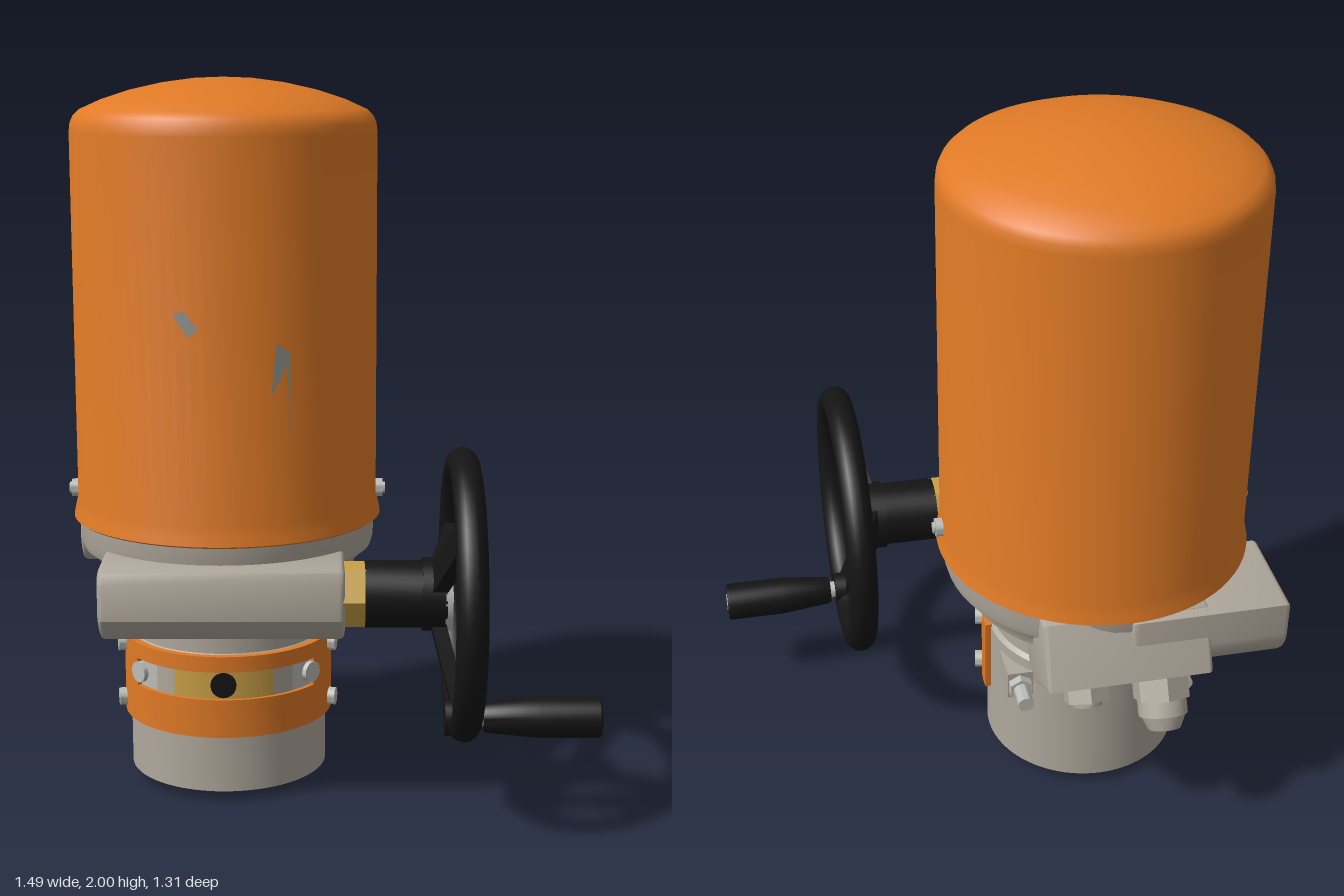
import * as THREE from 'three';
import { toCreasedNormals } from 'three/addons/utils/BufferGeometryUtils.js';

const mat = (name, color) => {
  const m = new THREE.MeshStandardMaterial({ color });
  m.name = name;
  return m;
};

export function createModel() {
  const model = new THREE.Group();
  model.name = 'valveActuator';
  const orange = mat('orangePaint', 0xe07a26);
  const grey = mat('greyCasting', 0xb0a89c);
  const black = mat('blackPlastic', 0x141414);
  const brass = mat('brass', 0xc9a046);
  const silver = mat('silverSteel', 0xbcbdb8);
  const patchGrey = mat('patchGrey', 0x96968f);
  patchGrey.side = THREE.DoubleSide;

  const CX = -0.29, COVER_Z = -0.13, BASE_Z = -0.075;

  const add = (name, geo, material, x = 0, y = 0, z = 0, parent = model) => {
    const m = new THREE.Mesh(geo, material);
    m.name = name;
    m.position.set(x, y, z);
    parent.add(m);
    return m;
  };
  const lathe = (pts, seg = 64) => toCreasedNormals(
    new THREE.LatheGeometry(pts.map(p => new THREE.Vector2(...p)), seg), 0.55);
  // Profile in (z, y), swept along x from x0 to x1
  const sweepX = (name, shape, x0, x1, bevel = 0) => {
    const geo = new THREE.ExtrudeGeometry(shape, {
      depth: x1 - x0 - 2 * bevel, bevelEnabled: bevel > 0, bevelSize: bevel, bevelOffset: -bevel,
      bevelThickness: bevel, bevelSegments: 3, curveSegments: 10,
    });
    const m = add(name, toCreasedNormals(geo, 0.6), grey, x1 - bevel);
    m.rotation.y = -Math.PI / 2;
  };
  const poly = pts => new THREE.Shape(pts.map(p => new THREE.Vector2(...p)));
  // Curved band around the base; angle 0 is the front
  const band = (name, material, r0, r1, a0, a1, y0, y1) => {
    const s = new THREE.Shape();
    const f = -Math.PI / 2;
    s.absarc(0, 0, r1, f + a0, f + a1, false);
    s.absarc(0, 0, r0, f + a1, f + a0, true);
    const geo = new THREE.ExtrudeGeometry(s, { depth: y1 - y0, bevelEnabled: false, curveSegments: 32 });
    geo.rotateX(-Math.PI / 2);
    add(name, toCreasedNormals(geo, 0.5), material, CX, y0, BASE_Z);
  };
  // Cylinder along a direction, starting at a point
  const rod = (name, material, from, dir, len, r0, r1 = r0, sides = 24, parent = model) => {
    const d = new THREE.Vector3(...dir).normalize();
    const geo = new THREE.CylinderGeometry(r1, r0, len, sides);
    const p = new THREE.Vector3(...from).addScaledVector(d, len / 2);
    const m = add(name, toCreasedNormals(geo, 0.6), material, p.x, p.y, p.z, parent);
    m.quaternion.setFromUnitVectors(new THREE.Vector3(0, 1, 0), d);
    return m;
  };

  // Tall domed cover
  add('cover', lathe([[0, 0.765], [0.435, 0.76], [0.442, 0.765], [0.438, 0.785], [0.43, 0.82], [0.43, 1.85],
    [0.427, 1.875], [0.418, 1.895], [0.4, 1.912], [0.34, 1.939], [0.26, 1.965], [0.17, 1.985],
    [0.08, 1.997], [0, 2]], 72), orange, CX, 0, COVER_Z);

  // Small patches that follow the front of the cover
  [[[-0.41, 1.39], [-0.38, 1.40], [-0.34, 1.35], [-0.37, 1.33]],
    [[-0.137, 1.31], [-0.10, 1.285], [-0.10, 1.04], [-0.108, 1.25], [-0.15, 1.17]]].forEach(pts => {
    const geo = new THREE.ShapeGeometry(poly(pts));
    const p = geo.attributes.position;
    for (let i = 0; i < p.count; i++) {
      p.setZ(i, COVER_Z + Math.sqrt(0.433 ** 2 - (p.getX(i) - CX) ** 2));
    }
    geo.computeVertexNormals();
    add('coverPatch', geo, patchGrey);
  });

  // Cover screws on both sides
  for (const s of [-1, 1]) {
    rod('coverScrew', silver, [CX + s * 0.425, 0.83, COVER_Z], [s, 0, 0], 0.025, 0.026);
    rod('coverScrewHead', silver, [CX + s * 0.445, 0.83, COVER_Z], [s, 0, 0], 0.012, 0.016);
  }

  // Housing flange under the cover
  add('housing', lathe([[0, 0.5], [0.28, 0.5], [0.3, 0.52], [0.3, 0.57], [0.34, 0.58], [0.362, 0.6], [0.37, 0.63],
    [0.385, 0.65], [0.415, 0.675], [0.422, 0.7], [0.425, 0.765], [0, 0.765]]), grey, CX, 0, COVER_Z);

  // Worm gear box across the front
  sweepX('wormGearBox', poly([[0.02, 0.5], [0.28, 0.5], [0.32, 0.53], [0.35, 0.57], [0.35, 0.67], [0.335, 0.7],
    [0.31, 0.71], [0.12, 0.71], [0.02, 0.66]]), -0.62, 0.045, 0.015);

  // Motor pod at the back left, rounded underneath
  const pod = new THREE.Shape();
  pod.moveTo(-0.57, 0.758);
  pod.lineTo(-0.57, 0.66);
  pod.absarc(-0.46, 0.66, 0.11, Math.PI, Math.PI * 1.5, false);
  pod.lineTo(-0.38, 0.55);
  pod.absarc(-0.38, 0.66, 0.11, Math.PI * 1.5, Math.PI * 2, false);
  pod.lineTo(-0.27, 0.758);
  sweepX('motorPod', pod, -0.74, -0.3, 0.015);

  // Cable entry box at the back
  sweepX('cableBox', poly([[-0.2, 0.76], [-0.535, 0.76], [-0.61, 0.59], [-0.46, 0.5], [-0.37, 0.5],
    [-0.34, 0.57], [-0.2, 0.57]]), -0.52, -0.06, 0.012);

  // Cable gland and blanking plug, pointing down and back
  const down = [0, -0.86, -0.51];
  const at = (x, t) => [x, 0.56 + down[1] * t, -0.525 + down[2] * t];
  rod('glandNut', grey, at(-0.39, 0), down, 0.085, 0.08, 0.08, 6);
  rod('glandCollar', grey, at(-0.39, 0.08), down, 0.05, 0.068, 0.068);
  rod('glandCap', grey, at(-0.39, 0.125), down, 0.045, 0.066, 0.045);
  rod('plugNut', grey, at(-0.18, 0), down, 0.065, 0.065, 0.065, 6);
  rod('plugCap', grey, at(-0.18, 0.06), down, 0.02, 0.045, 0.04);

  // Base cylinder with bored foot
  add('base', lathe([[0, 0.08], [0.11, 0.08], [0.11, 0], [0.18, 0], [0.18, 0.03], [0.283, 0.03], [0.283, 0.42],
    [0.27, 0.43], [0.27, 0.48], [0.285, 0.49], [0.285, 0.53], [0, 0.53]]), grey, CX, 0, BASE_Z);
  for (let i = 0; i < 4; i++) {
    const a = Math.PI / 4 + i * Math.PI / 2;
    rod('footBolt', silver, [CX + 0.23 * Math.cos(a), 0.031, BASE_Z + 0.23 * Math.sin(a)], [0, -1, 0], 0.005, 0.02);
  }

  // Orange guard with a window across the front
  const END = 1.65, WIN = 0.98;
  band('guardTop', orange, 0.28, 0.3, -END, END, 0.385, 0.43);
  band('guardBottom', orange, 0.28, 0.3, -END, END, 0.195, 0.305);
  for (const s of [-1, 1]) {
    band('guardSide', orange, 0.28, 0.3, s < 0 ? -END : WIN, s < 0 ? -WIN : END, 0.305, 0.385);
    for (const y of [0.235, 0.4]) {
      rod('guardScrew', silver, [CX + s * 0.29, y, BASE_Z + 0.06], [s, 0, 0.2], 0.024, 0.025);
    }
    // Indicator end plate and screw
    band('indicatorEnd', silver, 0.28, 0.287, s < 0 ? -WIN : 0.72, s < 0 ? -0.72 : WIN, 0.305, 0.385);
    rod('indicatorScrew', silver, [CX + s * 0.237, 0.345, BASE_Z + 0.165], [s * 0.75, 0, 0.66], 0.014, 0.03);
    band('indicatorEdge', grey, 0.28, 0.288, s < 0 ? -0.72 : 0.5, s < 0 ? -0.5 : 0.72, 0.305, 0.385);
    // Stop bolt pointing backwards
    add('stopLug', new THREE.BoxGeometry(0.09, 0.085, 0.17), grey, CX + s * 0.225, 0.345, -0.195);
    rod('stopNut', silver, [CX + s * 0.235, 0.345, -0.28], [0, 0, -1], 0.025, 0.036, 0.036, 6);
    rod('stopBolt', silver, [CX + s * 0.235, 0.345, -0.3], [0, 0, -1], 0.07, 0.023);
  }
  band('indicatorScale', brass, 0.28, 0.289, -0.5, 0.5, 0.305, 0.385);
  rod('indicatorDot', black, [CX, 0.345, BASE_Z + 0.28], [0, 0, 1], 0.014, 0.036);

  // Worm shaft: brass nut and black sleeve
  const WY = 0.62, WZ = 0.255;
  rod('shaftNut', brass, [0.03, WY, WZ], [1, 0, 0], 0.075, 0.092, 0.092, 6);
  rod('shaftSleeve', black, [0.1, WY, WZ], [1, 0, 0], 0.16, 0.092, 0.092, 32);
  rod('shaftHub', black, [0.255, WY, WZ], [1, 0, 0], 0.065, 0.1, 0.1, 32);

  // Handwheel, turning about its local z
  const wheel = new THREE.Group();
  wheel.name = 'handwheel';
  wheel.position.set(0.365, WY, WZ);
  wheel.rotation.y = Math.PI / 2;
  model.add(wheel);
  add('rim', new THREE.TorusGeometry(0.358, 0.042, 16, 64), black, 0, 0, 0, wheel);
  for (const deg of [135, 15, 255]) {
    const arm = new THREE.Group();
    arm.name = 'spoke';
    arm.rotation.z = deg * Math.PI / 180;
    wheel.add(arm);
    const bar = add('spokeBar', new THREE.BoxGeometry(0.29, 0.09, 0.04), black, 0.205, 0, -0.035, arm);
    bar.rotation.y = -0.25;
  }
  rod('hubPlate', silver, [0, 0, -0.05], [0, 0, 1], 0.02, 0.1, 0.1, 32, wheel);
  add('hubArc', new THREE.RingGeometry(0.058, 0.073, 24, 1, 0.4, 2.3), black, 0, 0, -0.028, wheel);

  // Crank handle on the lower spoke
  const px = -0.08, py = -0.325;
  rod('crankBoss', black, [px, py, -0.05], [0, 0, 1], 0.09, 0.05, 0.05, 24, wheel);
  rod('crankPin', silver, [px, py, 0.03], [0, 0, 1], 0.04, 0.025, 0.025, 20, wheel);
  const grip = add('crankGrip', lathe([[0, 0], [0.038, 0], [0.042, 0.01], [0.056, 0.15], [0.056, 0.315],
    [0.052, 0.32], [0, 0.32]], 32), black, px, py, 0.055, wheel);
  grip.rotation.x = Math.PI / 2;
  add('gripEndCap', new THREE.CylinderGeometry(0.024, 0.024, 0.004, 20), silver, px, py, 0.375, wheel)
    .rotation.x = Math.PI / 2;

  return model;
}
